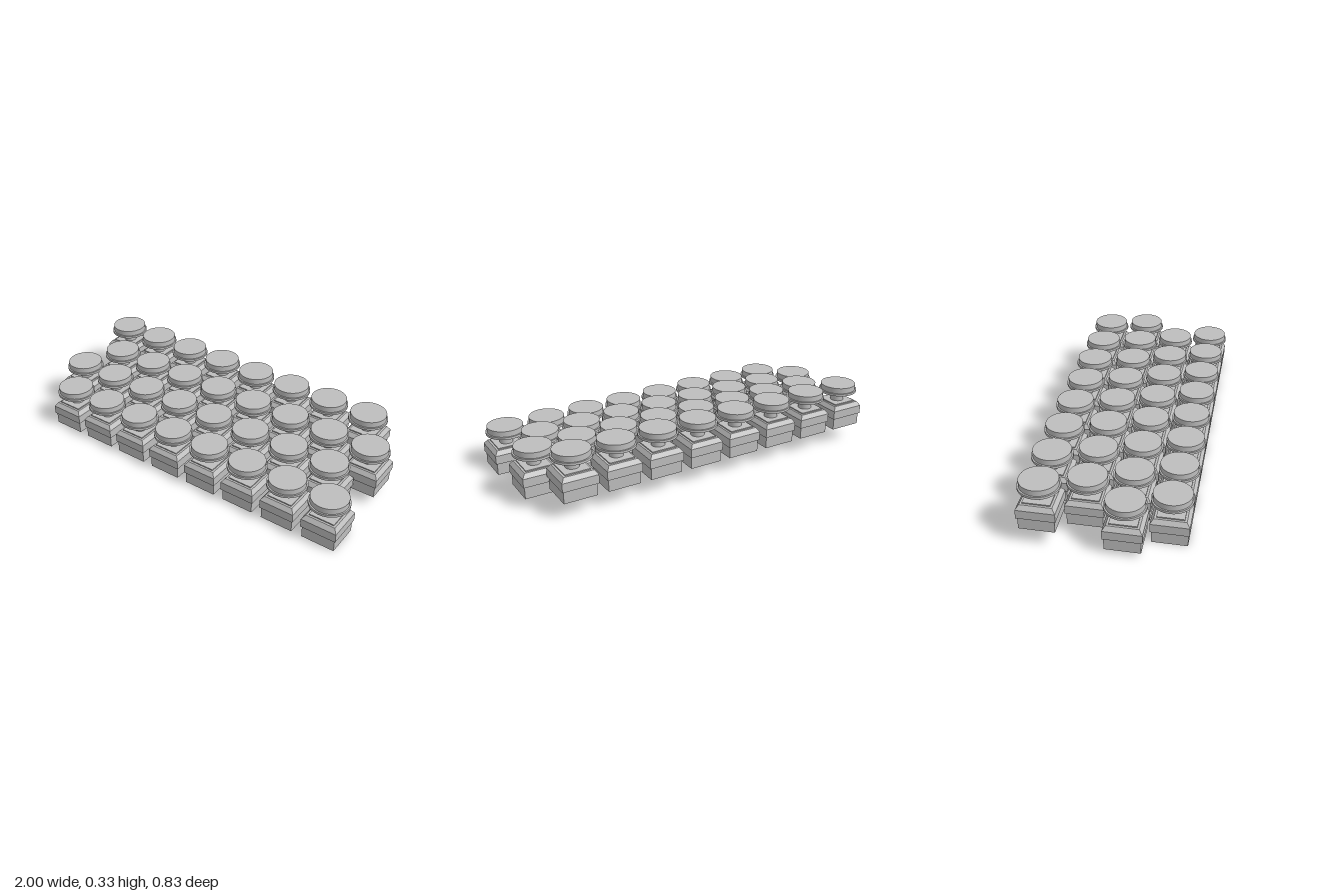
import * as THREE from 'three';

// Square block with separate bottom and top half-widths, flat sides
function squareBlock(bottom, top, y0, y1) {
  const g = new THREE.CylinderGeometry(top * Math.SQRT2, bottom * Math.SQRT2, y1 - y0, 4)
    .rotateY(Math.PI / 4)
    .translate(0, (y0 + y1) / 2, 0)
    .toNonIndexed();
  g.computeVertexNormals();
  return g;
}

function disc(radius, y0, y1) {
  return new THREE.CylinderGeometry(radius, radius, y1 - y0, 40).translate(0, (y0 + y1) / 2, 0);
}

export function createModel() {
  const model = new THREE.Group();
  model.name = 'keyRows';
  const gray = new THREE.MeshStandardMaterial({ color: 0xbebebe });
  gray.name = 'plainGray';

  // One push button, from the bottom up
  const parts = {
    lowerHousing: squareBlock(0.09, 0.09, 0, 0.066),
    upperHousing: squareBlock(0.097, 0.097, 0.066, 0.114),
    housingBevel: squareBlock(0.097, 0.08, 0.114, 0.137),
    stemPlate: squareBlock(0.069, 0.069, 0.137, 0.143),
    stem: disc(0.0365, 0.143, 0.198),
    capRim: disc(0.105, 0.198, 0.211),
    cap: disc(0.097, 0.211, 0.242),
  };

  // Four stepped rows of eight, every other row shifted half a pitch
  const pitch = 0.2387;
  const rows = [
    { y: 0, z: 0.31, shift: 1 },
    { y: 0.027, z: 0.103, shift: -1 },
    { y: 0.053, z: -0.103, shift: 1 },
    { y: 0.092, z: -0.309, shift: -1 },
  ];
  rows.forEach(({ y, z, shift }, r) => {
    const row = new THREE.Group();
    row.name = `row${r + 1}`;
    for (let i = 0; i < 8; i++) {
      const button = new THREE.Group();
      button.name = `button${i + 1}`;
      for (const [name, geometry] of Object.entries(parts)) {
        const mesh = new THREE.Mesh(geometry, gray);
        mesh.name = name;
        button.add(mesh);
      }
      button.position.x = (i - 3.5 + shift * 0.25) * pitch;
      row.add(button);
    }
    row.position.set(0, y, z);
    model.add(row);
  });
  return model;
}
